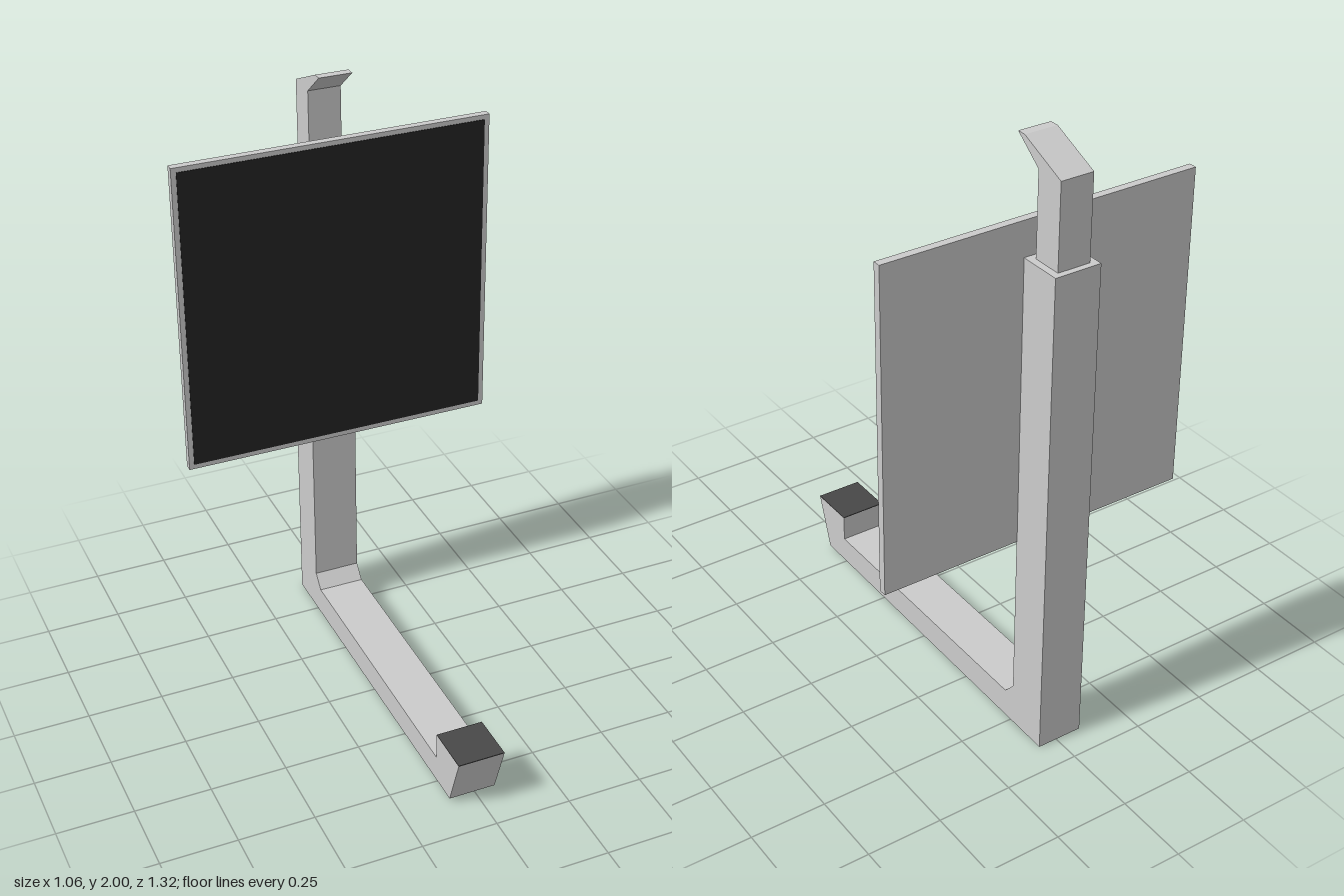
import * as THREE from 'three';

const grey = new THREE.MeshStandardMaterial({ color: 0xcccccc, flatShading: true });
const black = new THREE.MeshStandardMaterial({ color: 0x242424 });
const dark = new THREE.MeshStandardMaterial({ color: 0x484848 });

// Extrudes a side outline of [z, y] points across the width from x0 to x1
function sideProfile(name, points, x0, x1) {
  const shape = new THREE.Shape(points.map(([z, y]) => new THREE.Vector2(z, y)));
  const geometry = new THREE.ExtrudeGeometry(shape, { depth: x1 - x0, bevelEnabled: false });
  geometry.rotateY(-Math.PI / 2).translate(x1, 0, 0);
  const mesh = new THREE.Mesh(geometry, grey);
  mesh.name = name;
  return mesh;
}

// Box given by its minimum and maximum corners
function boxBetween(name, min, max, material) {
  const size = max.map((v, i) => v - min[i]);
  const mesh = new THREE.Mesh(new THREE.BoxGeometry(...size), material);
  mesh.position.set(...max.map((v, i) => (v + min[i]) / 2));
  mesh.name = name;
  return mesh;
}

export function createModel() {
  const model = new THREE.Group();
  model.name = 'screenStand';

  // L-shaped stand: column, chamfered inner corner, long foot and raised toe
  model.add(sideProfile('stand', [
    [-0.655, 0], [0.6, 0.01], [0.66, 0.187], [0.5, 0.187], [0.5, 0.098],
    [-0.47, 0.098], [-0.51, 0.143], [-0.51, 1.655], [-0.655, 1.655],
  ], -0.09, 0.065));

  // Dark pad on top of the toe
  model.add(boxBetween('toePad', [-0.09, 0.186, 0.5], [0.065, 0.189, 0.66], dark));

  // Narrow post with a forward-pointing hooked tip
  model.add(sideProfile('hookedPost', [
    [-0.635, 1.64], [-0.535, 1.64], [-0.535, 1.925], [-0.44, 2],
    [-0.47, 2], [-0.635, 1.928],
  ], -0.067, 0.042));

  // Flat panel with a dark display face inside a thin border
  model.add(boxBetween('panel', [-0.533, 0.7, -0.512], [0.531, 1.77, -0.486], grey));
  model.add(boxBetween('display', [-0.516, 0.717, -0.49], [0.514, 1.754, -0.484], black));

  return model;
}
